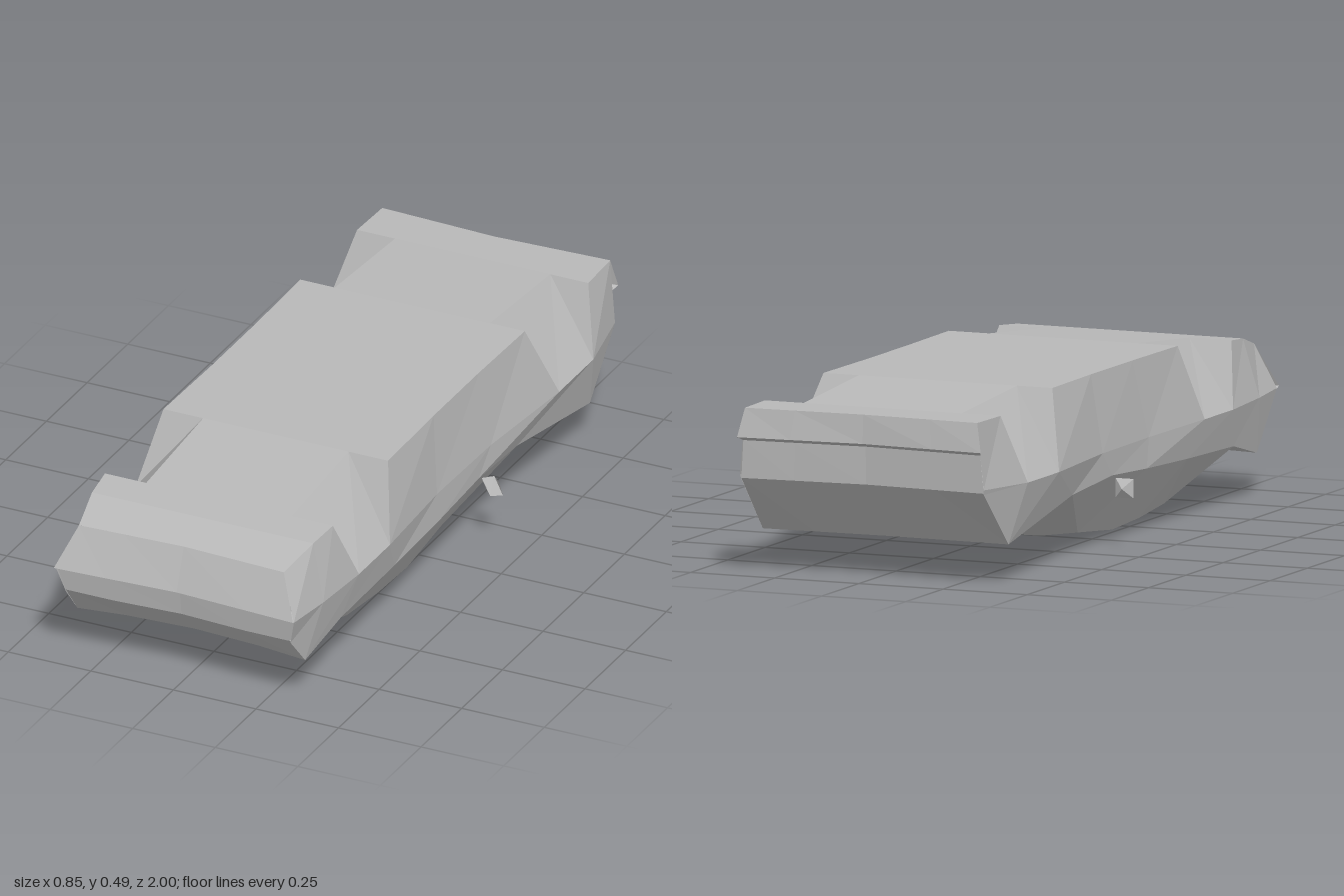
import * as THREE from 'three';

const paint = new THREE.MeshStandardMaterial({ color: 0xb8b8b8, flatShading: true, side: THREE.DoubleSide });
paint.name = 'light grey';

// Surface through rows of points, flat facets.
function grid(name, rows) {
  const pos = [];
  for (let i = 0; i < rows.length - 1; i++) {
    for (let j = 0; j < rows[i].length - 1; j++) {
      const a = rows[i][j], b = rows[i][j + 1], c = rows[i + 1][j + 1], d = rows[i + 1][j];
      for (const tri of [[a, d, c], [a, c, b]]) {
        const [p, q, r] = tri.map((v) => new THREE.Vector3(...v));
        if (q.clone().sub(p).cross(r.clone().sub(p)).length() > 1e-7) pos.push(...tri.flat());
      }
    }
  }
  const g = new THREE.BufferGeometry();
  g.setAttribute('position', new THREE.Float32BufferAttribute(pos, 3));
  g.computeVertexNormals();
  const mesh = new THREE.Mesh(g, paint);
  mesh.name = name;
  return mesh;
}

const mirror = ([x, y, z]) => [-x, y, z];

// Underside and flanks: [inner x, edge xyz, belt xyz, sill xyz], front to back.
// A repeated station whose edge falls on the inner point folds in a wheel well.
const stations = [
  [0.22, 0.31, 0.41, 0.95, 0.36, 0.285, 0.99, 0.34, 0.21, 0.97],
  [0.22, 0.335, 0.443, 0.82, 0.375, 0.28, 0.84, 0.345, 0.12, 0.89],
  [0.22, 0.345, 0.452, 0.72, 0.385, 0.275, 0.64, 0.36, 0.165, 0.7],
  [0.22, 0.22, 0.452, 0.72, 0.385, 0.275, 0.64, 0.36, 0.165, 0.7],
  [0.22, 0.22, 0.485, 0.37, 0.385, 0.275, 0.45, 0.365, 0.175, 0.38],
  [0.22, 0.34, 0.485, 0.37, 0.385, 0.275, 0.45, 0.365, 0.175, 0.38],
  [0.22, 0.335, 0.485, 0.08, 0.365, 0.27, 0.12, 0.368, 0.187, 0.1],
  [0.23, 0.335, 0.485, -0.2, 0.37, 0.27, -0.2, 0.368, 0.2, -0.13],
  [0.235, 0.34, 0.485, -0.47, 0.4, 0.27, -0.56, 0.36, 0.18, -0.38],
  [0.235, 0.235, 0.485, -0.47, 0.4, 0.27, -0.56, 0.36, 0.18, -0.38],
  [0.235, 0.235, 0.46, -0.84, 0.4, 0.27, -0.77, 0.365, 0.105, -0.82],
  [0.235, 0.35, 0.46, -0.84, 0.4, 0.27, -0.77, 0.365, 0.105, -0.82],
  [0.235, 0.345, 0.46, -0.985, 0.362, 0.275, -0.98, 0.36, 0.262, -0.975],
];

function section([inner, ex, ey, ez, bx, by, bz, sx, sy, sz]) {
  const zc = Math.abs(ez) > 0.94 ? ez * 0.985 : ez;
  const half = [
    [sx, sy, sz], [bx, by, bz], [ex, ey, ez],
    [inner, ey, THREE.MathUtils.lerp(zc, ez, inner / ex)],
  ];
  return [...half.map(mirror), [0, ey, zc], ...half.slice().reverse()];
}

// Crosswise rows: [half width, side y, side z, centre y, centre z].
const nose = [
  [0.31, 0.41, 0.95, 0.41, 0.936], [0.362, 0.29, 1, 0.29, 0.98],
  [0.36, 0.28, 0.98, 0.28, 0.96], [0.34, 0.215, 0.97, 0.21, 0.95],
  [0.345, 0.12, 0.89, 0.127, 0.87],
];
const hood = [nose[4], [0.36, 0.165, 0.7, 0.155, 0.73]];
const roof = [
  [0.26, 0.035, 0.46, 0.022, 0.46], [0.265, 0.02, 0.28, 0.008, 0.28],
  [0.265, 0.013, 0.1, 0, 0.1], [0.26, 0.035, -0.12, 0.02, -0.13],
];
const trunk = [[0.36, 0.18, -0.38, 0.175, -0.4], [0.365, 0.105, -0.82, 0.105, -0.81]];
const tail = [
  trunk[1], [0.36, 0.265, -0.975, 0.265, -0.95], [0.352, 0.37, -0.98, 0.37, -0.955],
  [0.362, 0.38, -1, 0.38, -0.975], [0.345, 0.46, -0.985, 0.46, -0.97],
];

const cross = ([w, y, z, yc, zc]) => [-1, -0.58, 0, 0.58, 1].map((t) => [
  t * w, Math.abs(t) === 1 ? y : yc, THREE.MathUtils.lerp(zc, z, Math.abs(t)),
]);

export function createModel() {
  const car = new THREE.Group();
  car.name = 'overturnedCarBody';

  car.add(grid('chassis', stations.map(section).reverse()));
  const panels = {
    nose, hood, windshield: [hood[1], roof[0]], roof,
    rearWindow: [roof[3], trunk[0]], trunk, tail,
  };
  for (const [name, rows] of Object.entries(panels)) car.add(grid(name, rows.map(cross)));

  // Side windows between the sill and the roof edge
  const sills = [[0.36, 0.18, -0.38], [0.368, 0.2, -0.13], [0.368, 0.187, 0.1],
    [0.366, 0.18, 0.28], [0.365, 0.175, 0.38], [0.36, 0.165, 0.7]];
  const rails = [sills[0], ...roof.map((r) => r.slice(0, 3)).reverse(), sills[5]];
  const side = sills.map((s, i) => [s, rails[i]]);
  car.add(grid('leftWindows', side));
  car.add(grid('rightWindows', side.map(([s, r]) => [mirror(r), mirror(s)])));

  // Left mirror: folded plate
  car.add(grid('leftMirror', [
    [[0.372, 0.198, -0.14], [0.372, 0.148, -0.17]],
    [[0.398, 0.198, -0.165], [0.398, 0.148, -0.14]],
    [[0.424, 0.198, -0.14], [0.424, 0.145, -0.165]],
  ]));
  // Right mirror: shallow square pyramid
  const cup = new THREE.ConeGeometry(0.038, 0.02, 4, 1).rotateY(Math.PI / 4).rotateX(-Math.PI / 2);
  const rightMirror = new THREE.Mesh(cup, paint);
  rightMirror.name = 'rightMirror';
  rightMirror.position.set(-0.402, 0.166, -0.135);
  car.add(rightMirror);
  return car;
}
